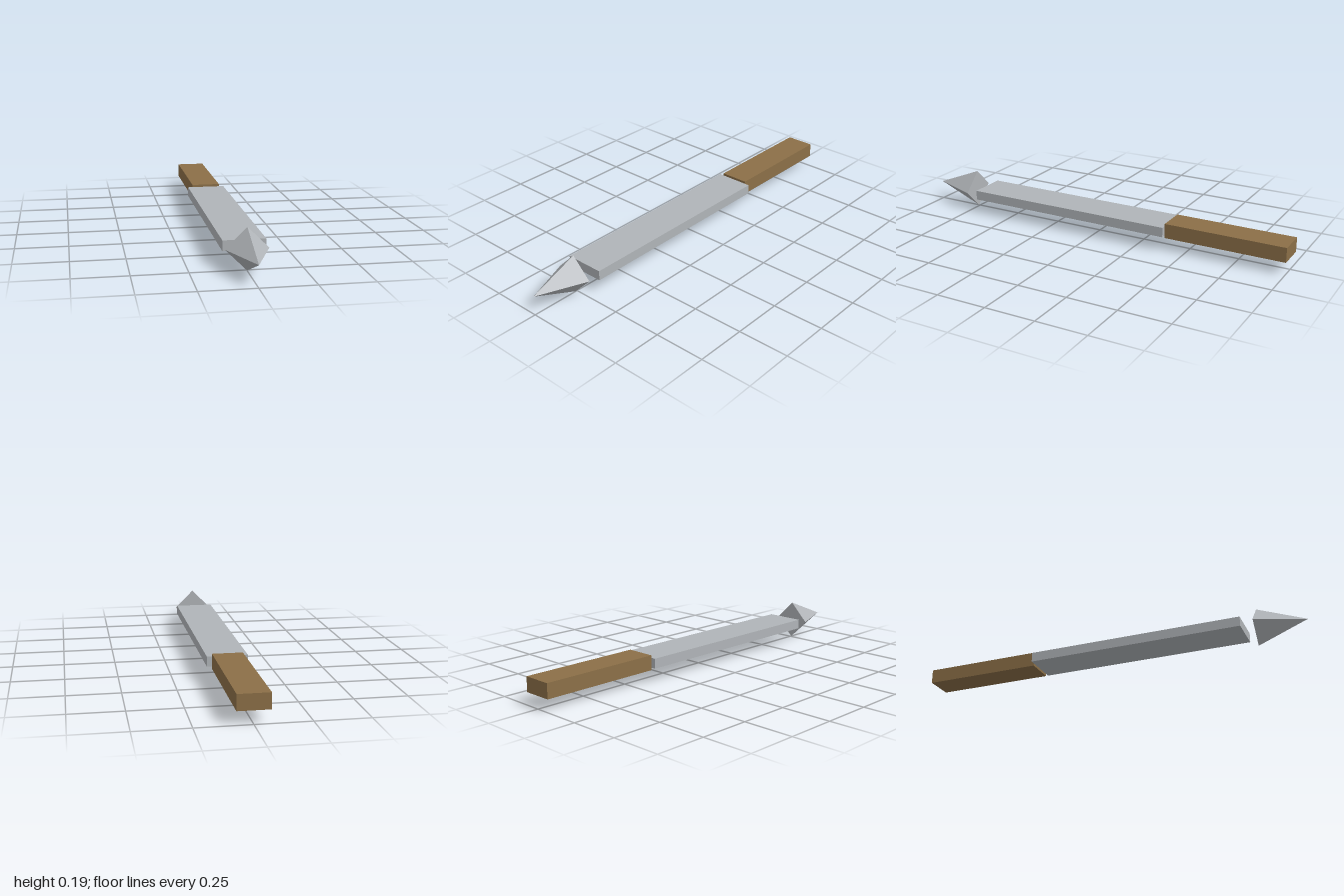
import * as THREE from 'three';

export function createModel() {
  const group = new THREE.Group();
  const steel = new THREE.MeshStandardMaterial({ color: 0xb0b4b8, flatShading: true });
  steel.name = 'steel grey';
  const wood = new THREE.MeshStandardMaterial({ color: 0x8b6f47, flatShading: true });
  wood.name = 'wood brown';
  const axisY = 0.097;

  // Places a part on the long axis, spanning z = from..to
  const add = (name, geometry, material, from, to) => {
    const mesh = new THREE.Mesh(geometry, material);
    mesh.name = name;
    mesh.position.set(0, axisY, (from + to) / 2);
    group.add(mesh);
  };

  // Handle at the back, flat blade in the middle
  add('handle', new THREE.BoxGeometry(0.1455, 0.0727, 0.606), wood, -1, -0.394);
  add('blade', new THREE.BoxGeometry(0.194, 0.0485, 1.091), steel, -0.394, 0.697);

  // Four-sided point floating ahead of the blade
  const point = new THREE.ConeGeometry(0.097, 0.2424, 4);
  point.rotateX(Math.PI / 2);
  add('tip', point, steel, 0.7576, 1);

  return group;
}
